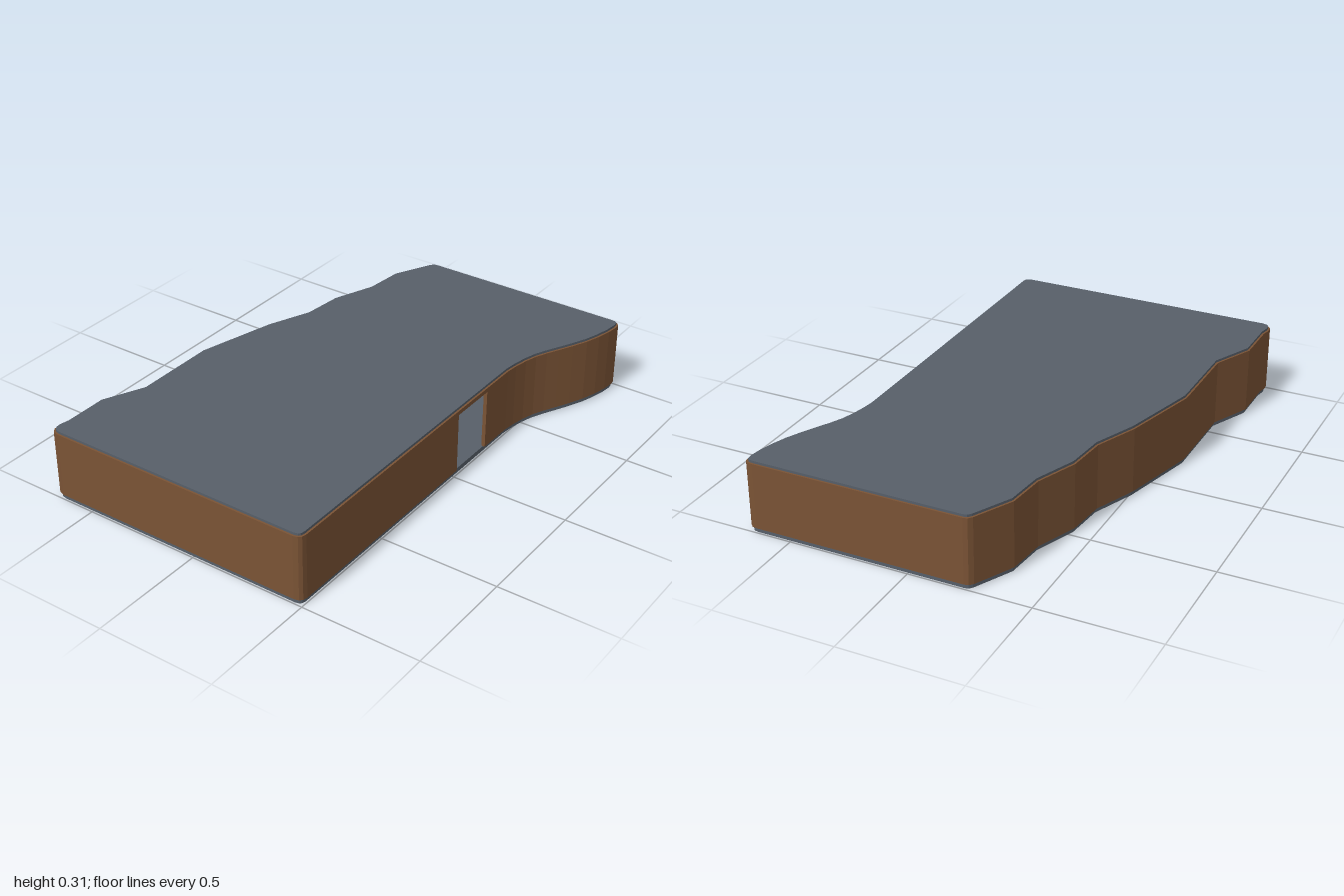
import * as THREE from 'three';

// Plan outline of the outer wall face as [x, z], from one door jamb round to the other
const DOOR = [-0.23, -0.02];
const OUTLINE = [
  [0.5, DOOR[0]], [0.5, -0.39], [0.506, -0.44], [0.517, -0.5], [0.533, -0.555], [0.555, -0.605],
  [0.583, -0.66], [0.613, -0.72], [0.642, -0.785], [0.663, -0.85], [0.677, -0.91],
  [0.683, -0.96], [0.68, -0.985], [0.667, -0.997], [0.645, -1],
  [-0.23, -1], [-0.248, -0.996], [-0.262, -0.98],
  [-0.342, -0.82], [-0.358, -0.655], [-0.425, -0.48], [-0.442, -0.31],
  [-0.515, -0.13], [-0.6, 0.2], [-0.6, 0.555], [-0.677, 0.725], [-0.677, 0.91],
  [-0.685, 0.95], [-0.683, 0.975], [-0.67, 0.993], [-0.645, 1],
  [0.465, 1], [0.485, 0.995], [0.496, 0.984], [0.5, 0.965], [0.5, DOOR[1]],
].map(([x, z]) => new THREE.Vector2(x, z));

// Moves the outline inward by a distance, with mitred corners
function inset(points, distance) {
  const normal = (a, b) => new THREE.Vector2(b.y - a.y, a.x - b.x).normalize();
  return points.map((p, i) => {
    const before = normal(points[Math.max(i - 1, 0)], points[Math.max(i, 1)]);
    const last = points.length - 1;
    const after = normal(points[Math.min(i, last - 1)], points[Math.min(i + 1, last)]);
    const mitre = before.clone().add(after).normalize();
    return p.clone().addScaledVector(mitre, distance / mitre.dot(before));
  });
}

// Raises a plan outline from height y0 to y1
function raise(points, y0, y1) {
  const geometry = new THREE.ExtrudeGeometry(new THREE.Shape(points), { depth: y1 - y0, bevelEnabled: false });
  return geometry.rotateX(Math.PI / 2).translate(0, y1, 0);
}

export function createModel() {
  const model = new THREE.Group();
  model.name = 'building';
  const brown = new THREE.MeshStandardMaterial({ color: 0x7a5335 });
  brown.name = 'brown wall';
  const slate = new THREE.MeshStandardMaterial({ color: 0x575f69 });
  slate.name = 'slate grey slab';

  function add(name, geometry, material) {
    const mesh = new THREE.Mesh(geometry, material);
    mesh.name = name;
    model.add(mesh);
  }

  // Floor and roof slabs, slightly inside the wall face
  const slab = inset(OUTLINE, 0.008);
  add('floorSlab', raise(slab, 0, 0.02), slate);
  add('roofSlab', raise(slab, 0.296, 0.306), slate);

  // Thin wall around the hollow room, open at the doorway
  const wall = [...OUTLINE, ...inset(OUTLINE, 0.016).reverse()];
  add('outerWall', raise(wall, 0.02, 0.296), brown);

  // Lintel closing the wall above the doorway
  const lintel = new THREE.BoxGeometry(0.016, 0.018, DOOR[1] - DOOR[0]);
  add('doorLintel', lintel.translate(0.492, 0.287, (DOOR[0] + DOOR[1]) / 2), brown);

  return model;
}
